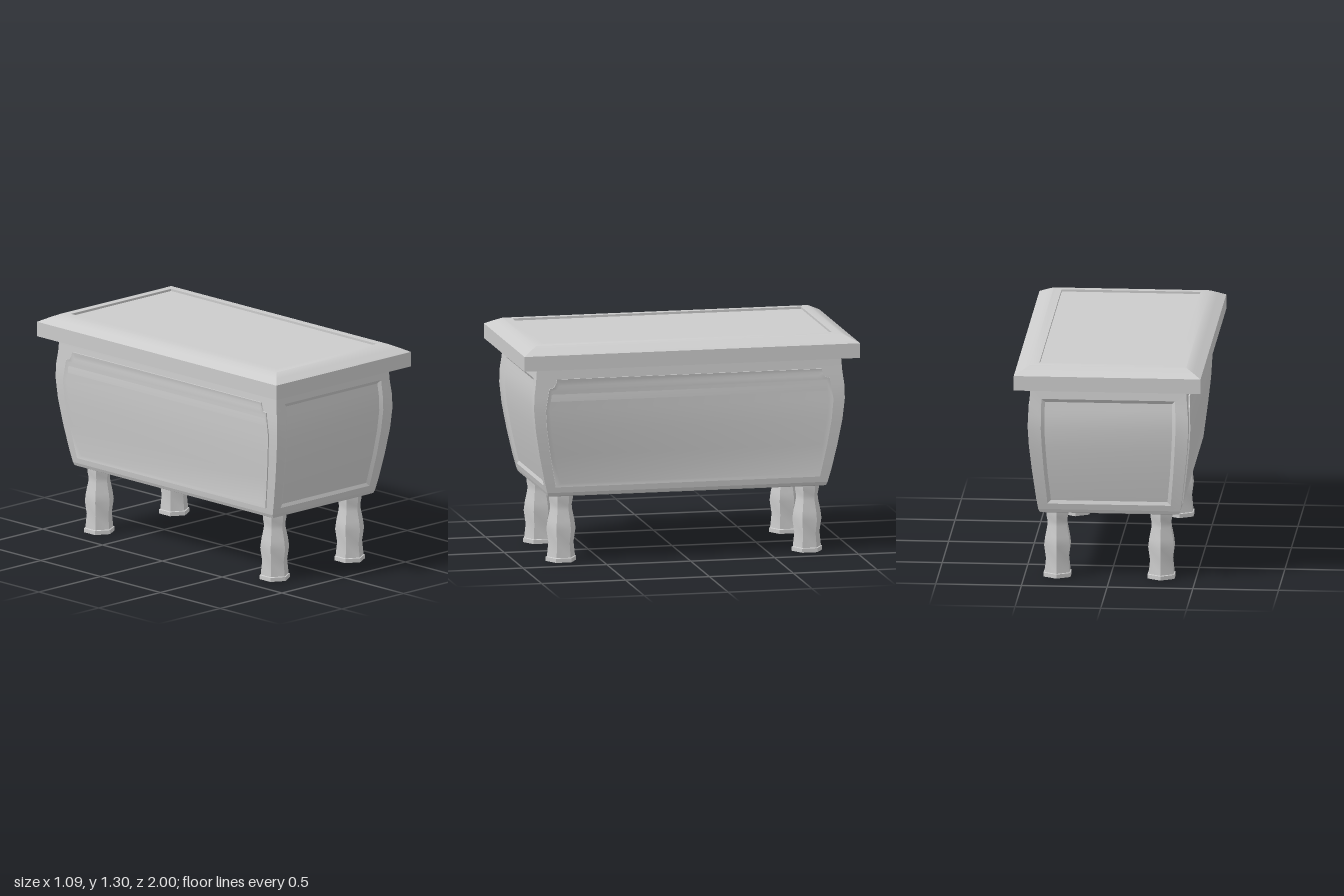
import * as THREE from 'three';
import { toCreasedNormals } from 'three/addons/utils/BufferGeometryUtils.js';

const material = new THREE.MeshStandardMaterial({ color: 0xcccccc });

// Swelling body profile: height, half width (x), half length (z)
const PROFILE = [
  [0.42, 0.415, 0.835], [0.5, 0.426, 0.856], [0.65, 0.444, 0.888], [0.8, 0.46, 0.914],
  [0.92, 0.467, 0.926], [1.0, 0.466, 0.924], [1.08, 0.459, 0.913], [1.18, 0.454, 0.905],
];

function profileAt(y, column) {
  let i = 1;
  while (i < PROFILE.length - 1 && y > PROFILE[i][0]) i++;
  const a = PROFILE[i - 1], b = PROFILE[i];
  return THREE.MathUtils.lerp(a[column], b[column], (y - a[0]) / (b[0] - a[0]));
}

function makeMesh(name, positions) {
  const geometry = new THREE.BufferGeometry();
  geometry.setAttribute('position', new THREE.Float32BufferAttribute(positions.flat(), 3));
  const mesh = new THREE.Mesh(toCreasedNormals(geometry, 0.5), material);
  mesh.name = name;
  return mesh;
}

// Joins closed loops of equal length, each with the outside on the same hand
function joinLoops(loops) {
  const out = [];
  for (let k = 0; k < loops.length - 1; k++) {
    const a = loops[k], b = loops[k + 1], n = a.length;
    for (let i = 0; i < n; i++) {
      const j = (i + 1) % n;
      out.push(a[i], a[j], b[j], a[i], b[j], b[i]);
    }
  }
  return out;
}

// Symmetric panel on a curved wall. Each ring is { half, depth }, where half lists
// [u, y] up the right-hand edge; the last ring is filled across in rows.
function curvedPanel(name, rings, isEnd) {
  const place = (u, y, d) =>
    isEnd ? [u, y, profileAt(y, 2) + d] : [profileAt(y, 1) + d, y, -u];
  const loops = rings.map(({ half, depth }) => [
    ...half.map(([u, y]) => place(u, y, depth)),
    ...[...half].reverse().map(([u, y]) => place(-u, y, depth)),
  ]);
  const out = joinLoops(loops);
  const last = loops[loops.length - 1], n = last.length;
  for (let i = 0; i < n / 2 - 1; i++) {
    const r0 = last[i], r1 = last[i + 1], l0 = last[n - 1 - i], l1 = last[n - 2 - i];
    out.push(l0, r0, r1, l0, r1, l1);
  }
  return makeMesh(name, out);
}

// Stack of rectangles [half x, y, half z], from the bottom up, closed at both ends
function rectangleLoft(name, levels) {
  const loops = levels.map(([x, y, z]) => [[-x, y, z], [x, y, z], [x, y, -z], [-x, y, -z]]);
  const out = joinLoops(loops);
  const [a, b, c, d] = loops[0];
  const [e, f, g, h] = loops[loops.length - 1];
  out.push(a, c, b, a, d, c, e, f, g, e, g, h);
  return makeMesh(name, out);
}

function createLeg(x, z) {
  const points = [
    [0, 0], [0.091, 0], [0.091, 0.024], [0.084, 0.027], [0.075, 0.11], [0.087, 0.19],
    [0.08, 0.24], [0.066, 0.305], [0.064, 0.33], [0.071, 0.365], [0.071, 0.4],
  ].map(([r, y]) => new THREE.Vector2(r, y));
  const leg = new THREE.Mesh(toCreasedNormals(new THREE.LatheGeometry(points, 6), 0.5), material);
  leg.name = 'leg';
  leg.position.set(x, 0, z);
  return leg;
}

export function createModel() {
  const model = new THREE.Group();
  model.name = 'chest';

  // Lid with sloping rim and shallow sunken top
  model.add(rectangleLoft('lid', [
    [0.545, 1.17, 1], [0.545, 1.257, 1], [0.5, 1.281, 0.955],
    [0.455, 1.303, 0.91], [0.405, 1.305, 0.86], [0.405, 1.292, 0.86],
  ]));

  // Rounded underside of the body
  model.add(rectangleLoft('bodyBase', [
    [0.393, 0.395, 0.815], [0.407, 0.401, 0.828], [0.415, 0.42, 0.835],
  ]));

  // Edge of each wall, following the body profile
  const border = (column) => PROFILE.map((p) => [p[column], p[0]]);

  // End panel outlines
  const endOuter = [[0.36, 0.455], [0.365, 0.52], [0.377, 0.65], [0.387, 0.8],
    [0.393, 0.92], [0.392, 1.0], [0.391, 1.06], [0.39, 1.1]];
  const endInner = [[0.34, 0.475], [0.345, 0.53], [0.357, 0.65], [0.367, 0.8],
    [0.373, 0.92], [0.373, 1.0], [0.371, 1.05], [0.37, 1.08]];

  // Side panel outlines with notched upper corners
  const sideOuter = [[0.787, 0.455], [0.825, 0.65], [0.848, 0.8], [0.857, 0.92],
    [0.835, 1.045], [0.808, 1.053], [0.795, 1.075], [0.788, 1.1]];
  const sideInner = [[0.755, 0.475], [0.797, 0.65], [0.82, 0.8], [0.831, 0.92],
    [0.817, 1.03], [0.789, 1.038], [0.773, 1.06], [0.766, 1.08]];

  for (const turn of [0, Math.PI]) {
    const half = new THREE.Group();
    half.name = turn ? 'backAndRightWalls' : 'frontAndLeftWalls';
    half.rotation.y = turn;
    half.add(
      curvedPanel('endWall', [
        { half: border(1), depth: 0 },
        { half: endOuter, depth: 0 },
        { half: endInner, depth: -0.013 },
      ], true),
      curvedPanel('sideWall', [{ half: border(2), depth: 0 }], false),
      curvedPanel('sidePanel', [
        { half: sideOuter, depth: -0.004 },
        { half: sideOuter, depth: 0.008 },
        { half: sideInner, depth: 0.001 },
      ], false),
    );
    model.add(half);
  }

  // Four six-sided turned legs
  for (const x of [-0.298, 0.309]) {
    for (const z of [-0.735, 0.731]) model.add(createLeg(x, z));
  }
  return model;
}
